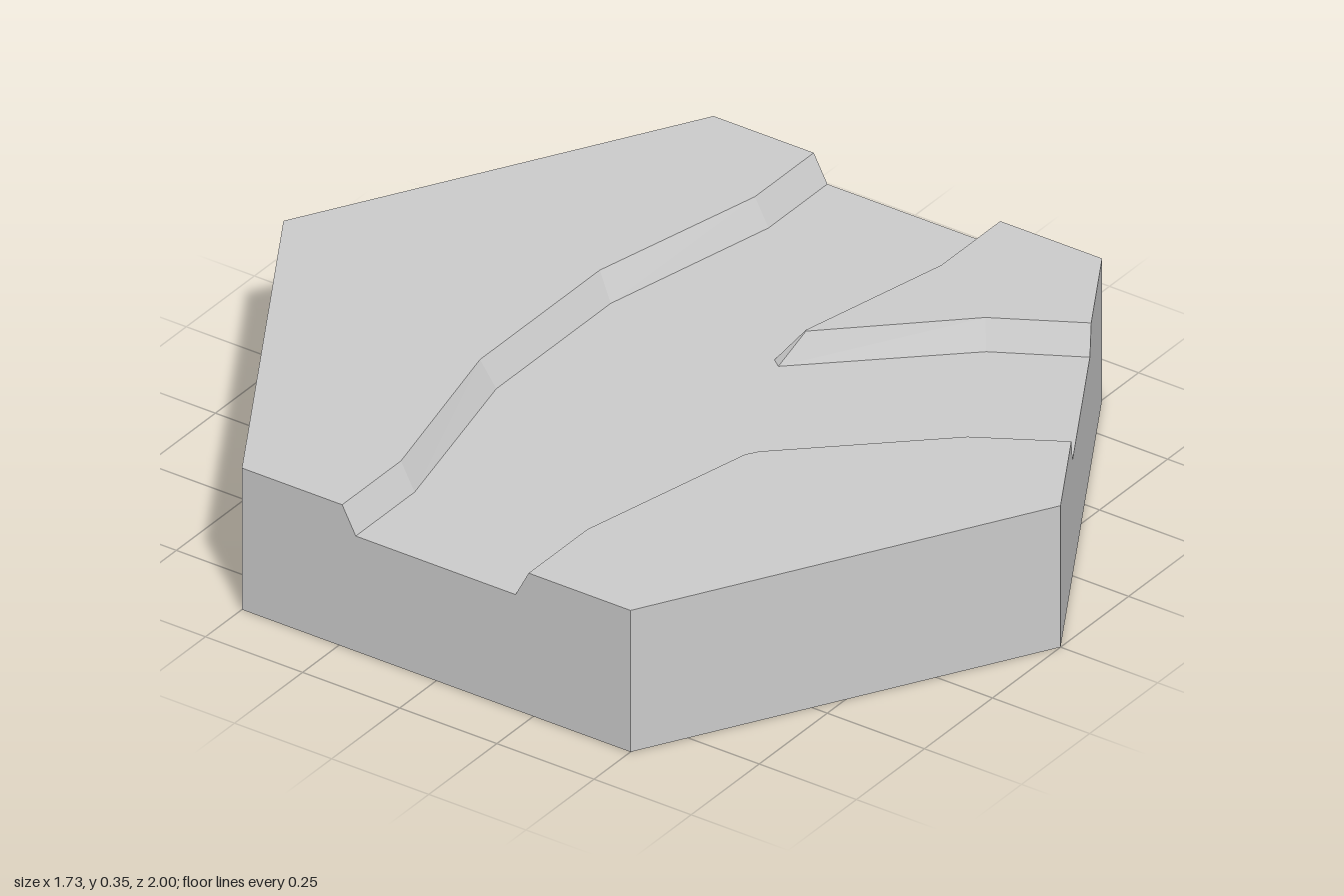
import * as THREE from 'three';

const FLOOR = 0.285, TOP = 0.35, W = Math.sqrt(3) / 2;
const rim = (x) => 1 - x / Math.sqrt(3); // z of the front-left tile edge at x

// Raised bank: points are [topX, topZ, footX, footZ], counterclockwise from above.
// A point with two numbers has its foot straight below its top.
function bankGeometry(points) {
  const loop = points.map(([x, z, fx = x, fz = z]) => ({
    top: [x, TOP, z], foot: [fx, FLOOR, fz],
  }));
  const pos = [];
  loop.forEach((a, i) => {
    const b = loop[(i + 1) % loop.length];
    pos.push(...a.foot, ...b.foot, ...b.top, ...a.foot, ...b.top, ...a.top);
  });
  const outline = loop.map((p) => new THREE.Vector2(p.top[0], -p.top[2]));
  for (const face of THREE.ShapeUtils.triangulateShape(outline, [])) {
    for (const i of face) pos.push(...loop[i].top);
  }
  const geometry = new THREE.BufferGeometry();
  geometry.setAttribute('position', new THREE.Float32BufferAttribute(pos, 3));
  geometry.computeVertexNormals();
  return geometry;
}

export function createModel() {
  const group = new THREE.Group();
  group.name = 'hexRiverTile';
  const material = new THREE.MeshStandardMaterial({ color: 0xcccccc, flatShading: true });
  const add = (name, geometry) => {
    const mesh = new THREE.Mesh(geometry, material);
    mesh.name = name;
    group.add(mesh);
    return mesh;
  };

  // Hexagonal slab whose upper face is the river bed
  add('base', new THREE.CylinderGeometry(1, 1, FLOOR, 6)).position.y = FLOOR / 2;

  // Bank behind the river, bowed backward in the middle
  add('backBank', bankGeometry([
    [-W, -0.242, -W, -0.207],
    [-0.65, -0.242, -0.65, -0.207],
    [-0.22, -0.34, -0.21, -0.305],
    [0.22, -0.34, 0.21, -0.305],
    [0.65, -0.242, 0.65, -0.207],
    [W, -0.242, W, -0.207],
    [W, -0.5], [0, -1], [-W, -0.5],
  ]));

  // Bank outside the branch
  add('frontRightBank', bankGeometry([
    [-W, 0.5], [0, 1],
    [0.225, rim(0.225), 0.252, rim(0.252)],
    [0.115, 0.68, 0.147, 0.66],
    [-0.185, 0.355, -0.155, 0.335],
    [-0.212, 0.337, -0.2, 0.303],
    [-0.65, 0.238, -0.65, 0.204],
    [-W, 0.238, -W, 0.204],
  ]));

  // Pointed bank between the river and its branch
  add('forkBank', bankGeometry([
    [W, 0.5],
    [W, 0.238, W, 0.204],
    [0.65, 0.238, 0.65, 0.204],
    [0.272, 0.154, 0.222, 0.108],
    [0.268, 0.157, 0.205, 0.13],
    [0.53, 0.435, 0.505, 0.455],
    [0.64, rim(0.64), 0.612, rim(0.612)],
  ]));

  return group;
}
